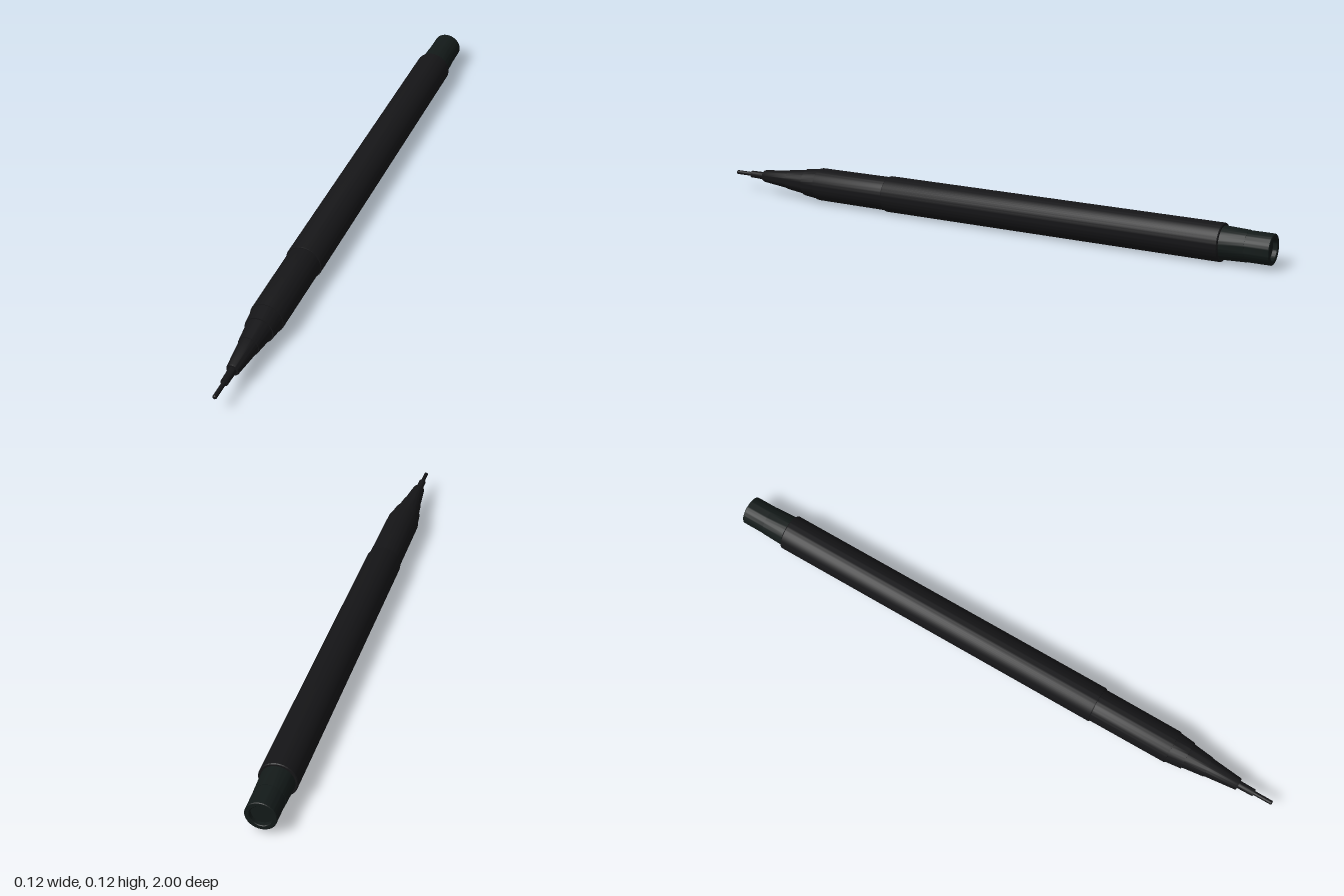
import * as THREE from 'three';
import { toCreasedNormals } from 'three/addons/utils/BufferGeometryUtils.js';

const AXIS_Y = 0.061;

// Turned part: profile of [radius, z], listed from back to front
function turned(name, profile, material) {
  const points = profile.map(([r, z]) => new THREE.Vector2(r, z));
  const geometry = new THREE.LatheGeometry(points, 64).rotateX(Math.PI / 2);
  const mesh = new THREE.Mesh(toCreasedNormals(geometry, 0.45), material);
  mesh.name = name;
  mesh.position.y = AXIS_Y;
  return mesh;
}

export function createModel() {
  const pen = new THREE.Group();
  pen.name = 'pen';
  const black = new THREE.MeshStandardMaterial({ color: 0x151517 });
  const tailBlack = new THREE.MeshStandardMaterial({ color: 0x131a19 });

  pen.add(
    // Push cap with a shallow recess in its end
    turned('endCap', [
      [0, -0.985], [0.034, -0.985], [0.034, -0.998], [0.036, -1],
      [0.047, -1], [0.049, -0.998], [0.049, -0.92], [0, -0.92],
    ], tailBlack),
    // Collar between cap and barrel
    turned('tailCollar', [
      [0, -0.92], [0.05, -0.92], [0.053, -0.84], [0, -0.84],
    ], tailBlack),
    // Main barrel
    turned('barrel', [
      [0, -0.84], [0.059, -0.84], [0.061, -0.837],
      [0.061, 0.357], [0.06, 0.36], [0, 0.36],
    ], black),
    // Slimmer grip section
    turned('grip', [
      [0, 0.36], [0.057, 0.36], [0.056, 0.635], [0.055, 0.64], [0, 0.64],
    ], black),
    // Stepped nose
    turned('noseRing', [
      [0, 0.64], [0.053, 0.64], [0.047, 0.695], [0, 0.695],
    ], black),
    turned('noseStep', [
      [0, 0.695], [0.043, 0.695], [0.034, 0.77], [0, 0.77],
    ], black),
    turned('noseCone', [
      [0, 0.77], [0.032, 0.77], [0.021, 0.875], [0.019, 0.88], [0, 0.88],
    ], black),
    // Needle holder and writing tip
    turned('needleHolder', [
      [0, 0.88], [0.013, 0.88], [0.012, 0.935], [0, 0.935],
    ], black),
    turned('writingTip', [
      [0, 0.935], [0.007, 0.935], [0.007, 0.997], [0.005, 1], [0, 1],
    ], black),
  );
  return pen;
}
